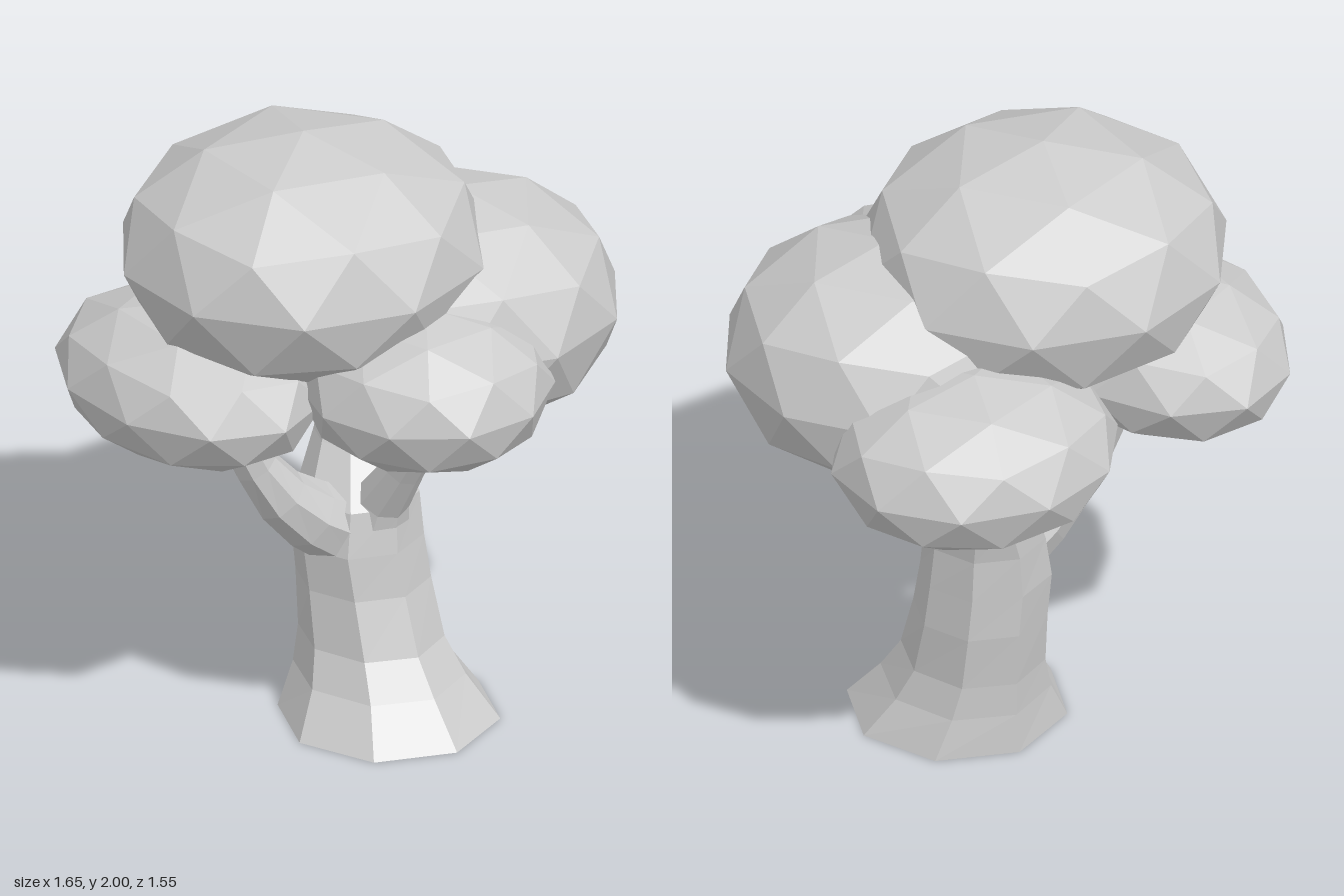
import * as THREE from 'three';

const bark = new THREE.MeshStandardMaterial({ color: 0xcccccc, flatShading: true });
const leaf = new THREE.MeshStandardMaterial({ color: 0xcccccc, flatShading: true });
const UP = new THREE.Vector3(0, 1, 0);

// Skin closed rings along sections [x, y, z, rx, rz]; rings lie level or follow the path
function loft(sections, sides, followPath) {
  const pts = sections.map((s) => new THREE.Vector3(s[0], s[1], s[2]));
  const pos = [];
  const idx = [];
  const last = pts.length - 1;
  sections.forEach(([, , , rx, rz = rx], i) => {
    const q = new THREE.Quaternion();
    if (followPath) {
      const dir = pts[Math.min(i + 1, last)].clone().sub(pts[Math.max(i - 1, 0)]).normalize();
      q.setFromUnitVectors(UP, dir);
    }
    for (let k = 0; k < sides; k++) {
      const a = (k / sides) * Math.PI * 2;
      const v = new THREE.Vector3(Math.sin(a) * rx, 0, Math.cos(a) * rz);
      pos.push(...v.applyQuaternion(q).add(pts[i]).toArray());
    }
  });
  for (let i = 0; i < last; i++) {
    for (let k = 0; k < sides; k++) {
      const a = i * sides + k;
      const b = i * sides + ((k + 1) % sides);
      idx.push(a, b, b + sides, a, b + sides, a + sides);
    }
  }
  // End caps
  const top = last * sides;
  for (let k = 1; k < sides - 1; k++) idx.push(0, k + 1, k, top, top + k, top + k + 1);
  const g = new THREE.BufferGeometry();
  g.setAttribute('position', new THREE.Float32BufferAttribute(pos, 3));
  g.setIndex(idx);
  g.computeVertexNormals();
  return g;
}

export function createModel() {
  const tree = new THREE.Group();
  tree.name = 'tree';
  const add = (name, geometry, material) => {
    const mesh = new THREE.Mesh(geometry, material);
    mesh.name = name;
    tree.add(mesh);
    return mesh;
  };

  // Flared trunk that narrows into the rear limb
  add('trunk', loft([
    [0.10, 0.00, 0.09, 0.34, 0.34],
    [0.105, 0.13, 0.035, 0.255, 0.275],
    [0.105, 0.24, -0.005, 0.215, 0.235],
    [0.105, 0.42, -0.045, 0.205, 0.21],
    [0.095, 0.56, -0.06, 0.205, 0.20],
    [0.105, 0.70, -0.07, 0.185, 0.19],
    [0.15, 0.85, -0.14, 0.13, 0.13],
    [0.19, 1.00, -0.20, 0.085, 0.09],
    [0.22, 1.14, -0.26, 0.07, 0.07],
  ], 8, false), bark);

  // Limbs reaching into the foliage
  const limbs = {
    rightLimb: [[0.06, 0.58, -0.04, 0.13], [-0.10, 0.68, -0.05, 0.11], [-0.20, 0.77, -0.06, 0.09],
      [-0.28, 0.89, -0.08, 0.07], [-0.35, 1.04, -0.10, 0.065], [-0.39, 1.14, -0.12, 0.06]],
    frontLimb: [[0.10, 0.58, 0.00, 0.12], [0.10, 0.72, 0.06, 0.085], [0.105, 0.86, 0.16, 0.065],
      [0.11, 1.01, 0.26, 0.055], [0.11, 1.12, 0.32, 0.05]],
    leftLimb: [[0.15, 0.62, -0.08, 0.10], [0.20, 0.76, -0.07, 0.08], [0.225, 0.90, -0.06, 0.055],
      [0.24, 1.10, -0.03, 0.05]],
  };
  for (const [name, path] of Object.entries(limbs)) add(name, loft(path, 8, true), bark);

  // Faceted foliage: centre, radii, turn about y
  const crowns = [
    ['topFoliage', [-0.13, 1.61, -0.035], [0.58, 0.39, 0.56], 0],
    ['leftFoliage', [0.335, 1.35, 0.115], [0.51, 0.38, 0.51], 0],
    ['frontFoliage', [0.01, 1.275, 0.39], [0.39, 0.255, 0.40], Math.PI / 10],
    ['rightFoliage', [-0.475, 1.23, -0.15], [0.37, 0.25, 0.48], 0],
    ['backFoliage', [0.345, 1.24, -0.37], [0.46, 0.265, 0.41], 0],
  ];
  for (const [name, centre, radii, turn] of crowns) {
    const g = new THREE.IcosahedronGeometry(1, 1);
    g.rotateZ(-Math.atan(2 / (1 + Math.sqrt(5)))); // stand on a vertex
    g.rotateY(turn);
    g.scale(...radii);
    add(name, g, leaf).position.set(...centre);
  }
  return tree;
}
